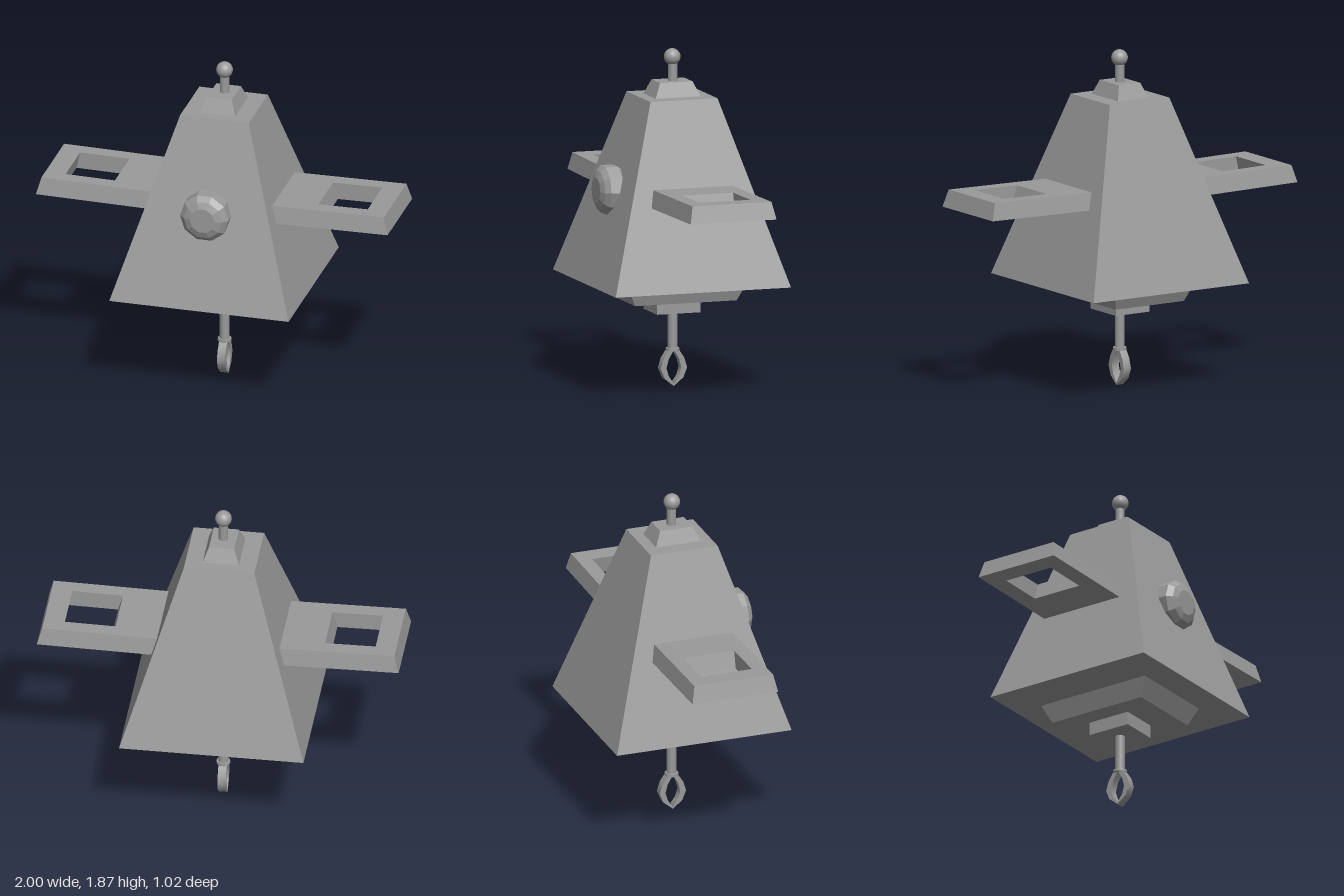
import * as THREE from 'three';
import { toCreasedNormals } from 'three/addons/utils/BufferGeometryUtils.js';

const grey = new THREE.MeshStandardMaterial({ color: 0x9a9a9a, flatShading: true });
const smooth = new THREE.MeshStandardMaterial({ color: 0x9a9a9a });

// Corners of a level rectangle, counter-clockwise seen from above
const rect = (x0, x1, hz, y) => [[x0, y, hz], [x1, y, hz], [x1, y, -hz], [x0, y, -hz]];

// Join four-cornered rings into a flat-faced solid
function loft(rings, closed = false) {
  const p = [];
  const quad = (a, b, c, d) => p.push(...a, ...b, ...c, ...a, ...c, ...d);
  const n = rings.length;
  for (let r = 0; r < (closed ? n : n - 1); r++) {
    const lo = rings[r], hi = rings[(r + 1) % n];
    for (let i = 0; i < 4; i++) {
      const j = (i + 1) % 4;
      quad(lo[i], lo[j], hi[j], hi[i]);
    }
  }
  if (!closed) {
    quad(...rings[n - 1]);
    quad(...[...rings[0]].reverse());
  }
  const g = new THREE.BufferGeometry();
  g.setAttribute('position', new THREE.Float32BufferAttribute(p, 3));
  g.computeVertexNormals();
  return g;
}

// Rectangular block tapering from (bx, bz) at y0 to (tx, tz) at y1
const frustum = (bx, bz, y0, tx, tz, y1) => loft([rect(-bx, bx, bz, y0), rect(-tx, tx, tz, y1)]);

export function createModel() {
  const model = new THREE.Group();
  const add = (name, geometry, material = grey) => {
    const m = new THREE.Mesh(geometry, material);
    m.name = name;
    model.add(m);
    return m;
  };
  const rod = (name, r, y0, y1) =>
    add(name, new THREE.CylinderGeometry(r, r, y1 - y0, 16), smooth).position.set(0.003, (y0 + y1) / 2, -0.002);

  // Main body and stacked blocks
  add('body', frustum(0.51, 0.51, 0.593, 0.195, 0.195, 1.613));
  add('topCap', frustum(0.1, 0.13, 1.613, 0.07, 0.095, 1.693));
  add('underPlate', frustum(0.225, 0.295, 0.49, 0.26, 0.345, 0.593));
  add('underBlock', frustum(0.11, 0.127, 0.415, 0.11, 0.127, 0.49));

  // Antenna
  rod('antennaRod', 0.026, 1.68, 1.81);
  add('antennaBall', new THREE.SphereGeometry(0.046, 20, 14), smooth).position.set(0.003, 1.826, 0);

  // Side arms: bevelled slabs with a rectangular opening, rising slightly outward
  const armGeometry = loft([
    rect(0.3, 1.0, 0.25, -0.048), rect(0.3, 0.975, 0.23, 0.048),
    rect(0.58, 0.86, 0.148, 0.048), rect(0.606, 0.88, 0.148, -0.048),
  ], true);
  [['leftArm', 0], ['rightArm', Math.PI]].forEach(([name, turn]) => {
    const arm = add(name, armGeometry);
    arm.position.y = 1.095;
    arm.rotation.set(0, turn, 0.014);
  });

  // Ten-sided front knob with a stepped bevel
  const profile = [[0, 0.27], [0.1, 0.27], [0.138, 0.33], [0.138, 0.4],
    [0.11, 0.428], [0.072, 0.443], [0, 0.443]].map(([r, z]) => new THREE.Vector2(r, z));
  const knob = new THREE.LatheGeometry(profile, 10, Math.PI / 10);
  knob.rotateX(Math.PI / 2);
  add('frontKnob', knob).position.y = 1.107;

  // Hanging stem
  rod('stem', 0.027, 0.2, 0.425);
  rod('stemCollar', 0.038, 0.195, 0.21);

  // Pincer: two mirrored curved prongs
  const outline = [[0, 0.2], [0.03, 0.2], [0.06, 0.155], [0.077, 0.1], [0.055, 0.045], [0, 0],
    [0, 0.012], [0.03, 0.055], [0.043, 0.1], [0.03, 0.15]];
  const shape = new THREE.Shape(outline.map(([z, y]) => new THREE.Vector2(z, y)));
  const extruded = new THREE.ExtrudeGeometry(shape, { depth: 0.046, bevelEnabled: false });
  extruded.translate(0, 0, -0.023);
  const prong = toCreasedNormals(extruded, 0.9);
  [['frontProng', -1], ['backProng', 1]].forEach(([name, side]) => {
    const p = add(name, prong, smooth);
    p.position.set(0.003, 0, -0.002);
    p.rotation.y = side * Math.PI / 2;
  });

  return model;
}
